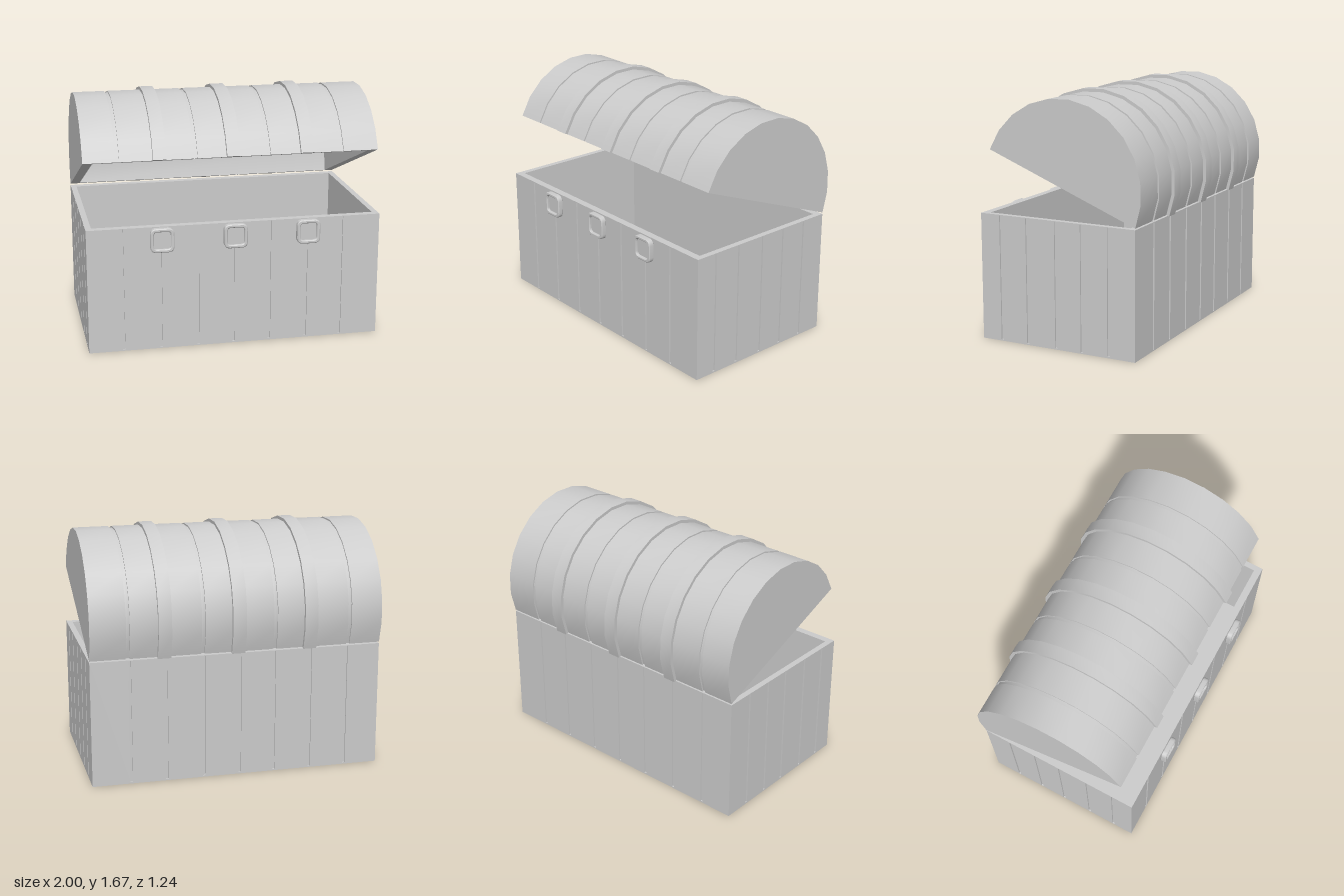
import * as THREE from 'three';
import { toCreasedNormals } from 'three/addons/utils/BufferGeometryUtils.js';

const material = new THREE.MeshStandardMaterial({ color: 0xcccccc });
const FRONT = 0.58, BACK = -0.56, HEIGHT = 0.86;
const frontGrooves = [-0.765, -0.51, -0.255, -0.015, 0.235, 0.49, 0.735];
const sideGrooves = [0.43, 0.23, 0.015, -0.175, -0.37];

function part(name, geometry, parent) {
  const mesh = new THREE.Mesh(geometry, material);
  mesh.name = name;
  parent.add(mesh);
  return mesh;
}

function rectPath(x0, x1, y0, y1) {
  return new THREE.Path([[x0, y0], [x1, y0], [x1, y1], [x0, y1]].map(p => new THREE.Vector2(...p)));
}

// Footprint of the chest walls (shape y is -z), with optional plank grooves of depth d
function footprint(d) {
  const pts = [], h = 0.009;
  const add = (x, z) => pts.push(new THREE.Vector2(x, -z));
  const alongX = (xs, z, dir) => xs.forEach(x => {
    const inner = z - Math.sign(z) * d;
    add(x - dir * h, z); add(x - dir * h, inner); add(x + dir * h, inner); add(x + dir * h, z);
  });
  const alongZ = (zs, x, dir) => zs.forEach(z => {
    const inner = x - Math.sign(x) * d;
    add(x, z - dir * h); add(inner, z - dir * h); add(inner, z + dir * h); add(x, z + dir * h);
  });
  add(-1, FRONT);
  if (d) alongX(frontGrooves, FRONT, 1);
  add(1, FRONT);
  if (d) alongZ(sideGrooves, 1, -1);
  add(1, BACK);
  if (d) alongX([...frontGrooves].reverse(), BACK, -1);
  add(-1, BACK);
  if (d) alongZ([...sideGrooves].reverse(), -1, 1);
  const shape = new THREE.Shape(pts);
  shape.holes.push(rectPath(-0.96, 0.96, -FRONT + 0.05, -BACK - 0.05));
  return shape;
}

function wallLayer(name, d, y0, y1, parent) {
  const g = new THREE.ExtrudeGeometry(footprint(d), { depth: y1 - y0, bevelEnabled: false });
  g.rotateX(-Math.PI / 2).translate(0, y0, 0);
  part(name, g, parent);
}

function roundedRect(w, h, r, Type = THREE.Shape) {
  const s = new Type(), x = w / 2, y = h / 2;
  s.moveTo(-x + r, -y);
  s.lineTo(x - r, -y); s.quadraticCurveTo(x, -y, x, -y + r);
  s.lineTo(x, y - r); s.quadraticCurveTo(x, y, x - r, y);
  s.lineTo(-x + r, y); s.quadraticCurveTo(-x, y, -x, y - r);
  s.lineTo(-x, -y + r); s.quadraticCurveTo(-x, -y, -x + r, -y);
  return s;
}

function makeClasp(x) {
  const clasp = new THREE.Group();
  clasp.name = 'clasp';
  const options = { bevelEnabled: true, bevelThickness: 0.006, bevelSize: 0.006, bevelSegments: 1, curveSegments: 5 };
  const ring = roundedRect(0.148, 0.153, 0.034);
  ring.holes.push(roundedRect(0.126, 0.131, 0.03, THREE.Path));
  const g = new THREE.ExtrudeGeometry(ring, { ...options, depth: 0.028 });
  part('claspRing', toCreasedNormals(g.translate(0, 0, 0.006), 0.6), clasp);
  const plate = new THREE.ExtrudeGeometry(roundedRect(0.13, 0.135, 0.03), { depth: 0.022, bevelEnabled: false });
  part('claspPlate', plate, clasp);
  clasp.position.set(x, 0.773, FRONT);
  return clasp;
}

function makeLid() {
  const lid = new THREE.Group();
  lid.name = 'lid';
  const R = 0.57, RI = 0.54, END = 0.935;
  // Raised bands and shallow grooves: [start, end, radius]
  const rings = [
    [-0.785, -0.76, 0.56], [-0.54, -0.45, 0.592], [-0.265, -0.24, 0.56], [-0.045, 0.048, 0.592],
    [0.23, 0.255, 0.56], [0.46, 0.55, 0.592], [0.735, 0.76, 0.56],
  ];
  const outer = [[R, -1]];
  for (const [a, b, r] of rings) outer.push([R, a], [r, a], [r, b], [R, b]);
  outer.push([R, 1]);
  const V = ([x, y]) => new THREE.Vector2(x, y);

  // Half barrel shell with closed ends, hollow underneath
  const profile = [[0, -1], ...outer, [0, 1], [0, END], [RI, END], [RI, -END], [0, -END], [0, -END]];
  profile.pop();
  const shell = new THREE.LatheGeometry(profile.map(V), 12, -Math.PI / 2, Math.PI);
  // Flat rim closing the shell thickness
  const rimShape = new THREE.Shape([...outer, ...outer.map(([x, y]) => [-x, y]).reverse()].map(V));
  rimShape.holes.push(rectPath(-RI, RI, -END, END));
  const rim = new THREE.ShapeGeometry(rimShape).rotateY(Math.PI);

  // Lay the barrel axis along x
  for (const g of [shell, rim]) g.rotateZ(-Math.PI / 2).rotateX(-Math.PI / 2);
  part('lidShell', toCreasedNormals(shell, 0.6), lid);
  part('lidRim', rim, lid);
  lid.position.set(0, 1.08, -0.03);
  lid.rotation.x = -0.377;
  return lid;
}

export function createModel() {
  const model = new THREE.Group();
  model.name = 'chest';

  const base = new THREE.Group();
  base.name = 'base';
  wallLayer('bottomEdge', 0, 0, 0.01, base);
  wallLayer('plankWalls', 0.01, 0.01, HEIGHT - 0.005, base);
  wallLayer('topEdge', 0, HEIGHT - 0.005, HEIGHT, base);
  const floor = new THREE.BoxGeometry(1.92, 0.05, FRONT - BACK - 0.1);
  part('floor', floor.translate(0, 0.025, (FRONT + BACK) / 2), base);
  model.add(base);

  for (const x of [-0.5, -0.005, 0.495]) model.add(makeClasp(x));
  model.add(makeLid());
  return model;
}
